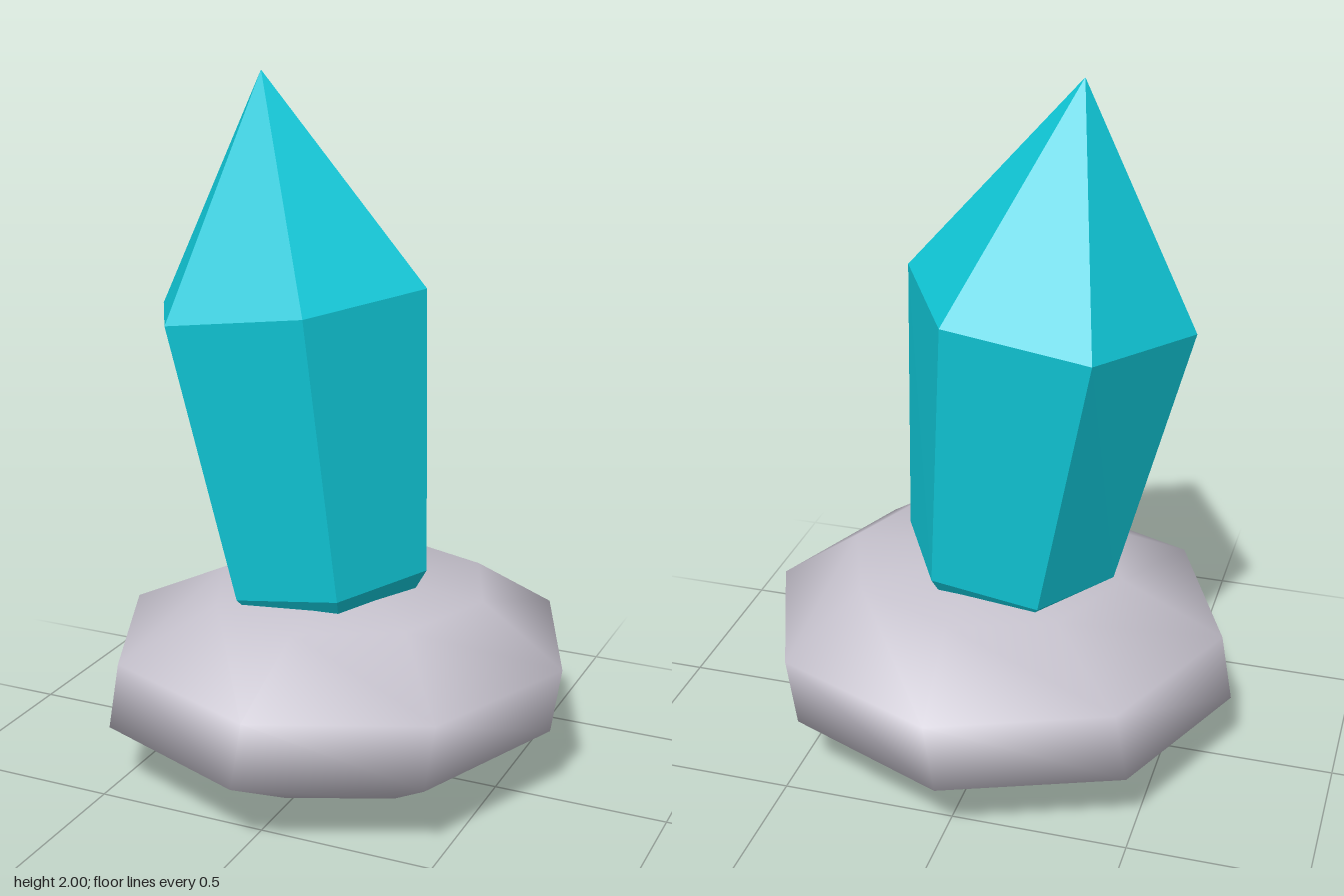
import * as THREE from 'three';
import { mergeVertices } from 'three/addons/utils/BufferGeometryUtils.js';

const rockMaterial = new THREE.MeshStandardMaterial({ color: 0xc6c2cd });
rockMaterial.name = 'pale grey rock';
const crystalMaterial = new THREE.MeshStandardMaterial({ color: 0x10c8d8, flatShading: true });
crystalMaterial.name = 'turquoise crystal';

// Flattened eight-sided boulder, each ring slightly shifted and tilted
function createRock() {
  let geometry = new THREE.SphereGeometry(1, 8, 5);
  geometry.deleteAttribute('uv');
  geometry.deleteAttribute('normal');
  geometry = mergeVertices(geometry, 1e-3);
  // Rings from top to bottom: height, radius, centre x, tilt
  const rings = [
    [0.585, 0, 0.04, 0],
    [0.553, 0.405, 0.045, 0.03],
    [0.4, 0.672, 0.015, 0],
    [0.205, 0.675, -0.017, 0.007],
    [0.055, 0.4, 0.02, 0.012],
    [0, 0, 0.02, 0],
  ];
  const p = geometry.attributes.position;
  for (let i = 0; i < p.count; i++) {
    const ring = Math.round(Math.acos(THREE.MathUtils.clamp(p.getY(i), -1, 1)) / (Math.PI / 5));
    const [y, radius, cx, tilt] = rings[ring];
    const length = Math.hypot(p.getX(i), p.getZ(i)) || 1;
    const x = (p.getX(i) / length) * radius;
    const z = (p.getZ(i) / length) * radius;
    p.setXYZ(i, cx + x + 0.03 * z * z, y + tilt * x, z * 0.99 + 0.005);
  }
  geometry.computeVertexNormals();
  const mesh = new THREE.Mesh(geometry, rockMaterial);
  mesh.name = 'rock';
  return mesh;
}

// Leaning six-sided crystal: buried point, lower ring, upper ring, tip
function createCrystal() {
  const zCentre = 0.01;
  const ring = (cx, cy, rx, rz, tilt) =>
    Array.from({ length: 6 }, (_, i) => {
      const a = (i * Math.PI) / 3;
      const x = rx * Math.cos(a);
      return [cx + x, cy + tilt * x, zCentre + rz * Math.sin(a)];
    });
  const lower = ring(-0.025, 0.588, 0.307, 0.315, 0.145);
  const upper = ring(-0.135, 1.383, 0.406, 0.41, 0.142);
  const tip = [-0.22, 2, zCentre];
  const root = [0.04, 0.2, zCentre];

  const vertices = [];
  for (let i = 0; i < 6; i++) {
    const j = (i + 1) % 6;
    vertices.push(upper[i], tip, upper[j]);
    vertices.push(lower[i], upper[i], upper[j], lower[i], upper[j], lower[j]);
    vertices.push(root, lower[i], lower[j]);
  }
  const geometry = new THREE.BufferGeometry();
  geometry.setAttribute('position', new THREE.Float32BufferAttribute(vertices.flat(), 3));
  geometry.computeVertexNormals();
  const mesh = new THREE.Mesh(geometry, crystalMaterial);
  mesh.name = 'crystal';
  return mesh;
}

export function createModel() {
  const group = new THREE.Group();
  group.name = 'crystalOnRock';
  group.add(createRock(), createCrystal());
  return group;
}
